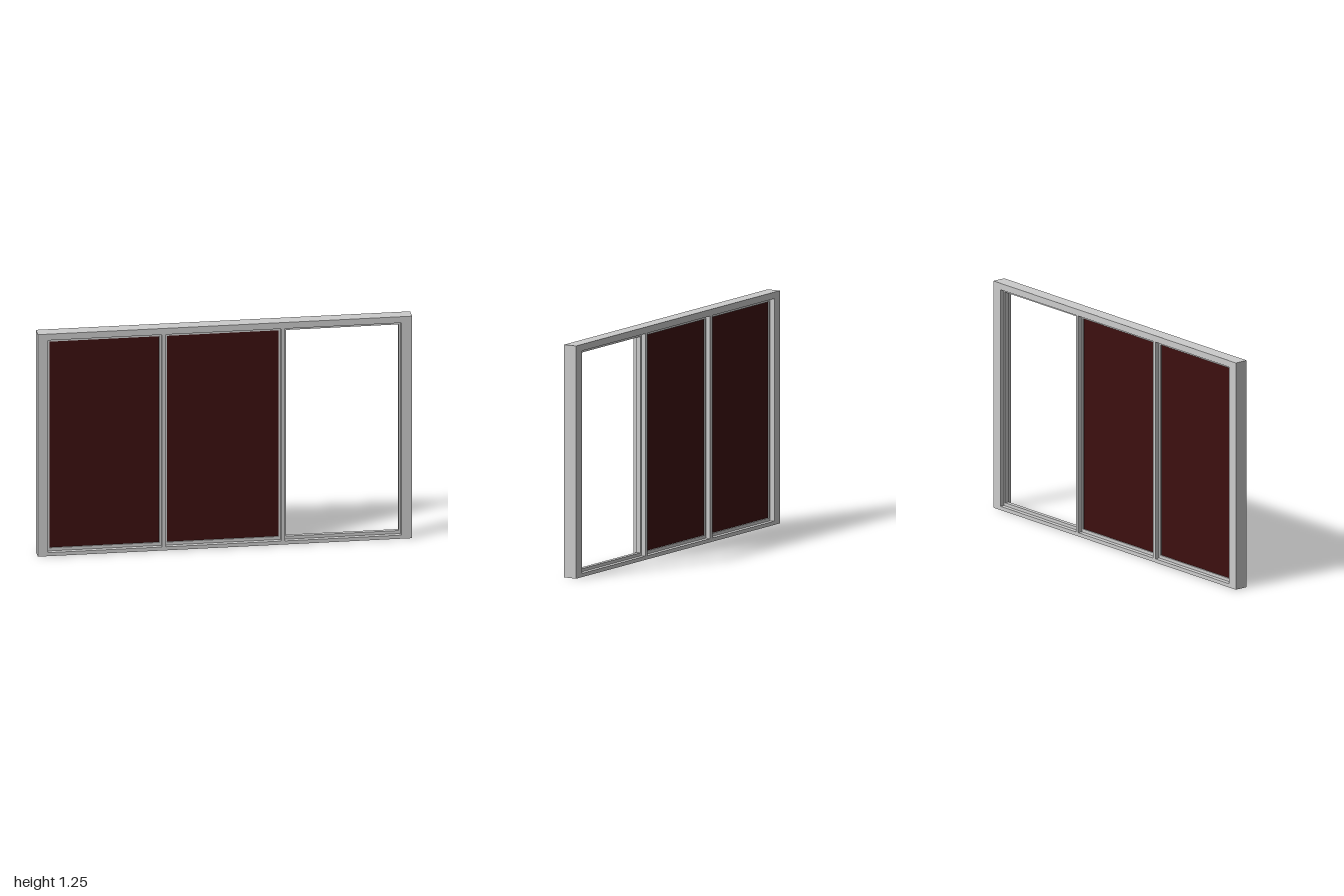
import * as THREE from 'three';

const grey = new THREE.MeshStandardMaterial({ color: 0xcccccc });
const darkRed = new THREE.MeshStandardMaterial({ color: 0x3c0f0f });

const HEIGHT = 1.25, DEPTH = 0.075, BEAD_DEPTH = 0.024;
const SILL = 0.02, HEAD = 1.215;
const BEAD_SIDE = 0.01, BEAD_END = 0.017;

// Left and right edge of each opening, and whether it holds a panel
const openings = [
  { x0: -0.945, x1: -0.337, filled: true },
  { x0: -0.316, x1: 0.3, filled: true },
  { x0: 0.32, x1: 0.942, filled: false },
];

function rectPath(PathType, x0, y0, x1, y1) {
  return new PathType([[x0, y0], [x1, y0], [x1, y1], [x0, y1]].map(([x, y]) => new THREE.Vector2(x, y)));
}

// Plate with rectangular holes, centred on z = 0
function plate(name, outer, holes, depth) {
  const shape = rectPath(THREE.Shape, ...outer);
  holes.forEach((h) => shape.holes.push(rectPath(THREE.Path, ...h)));
  const geometry = new THREE.ExtrudeGeometry(shape, { depth, bevelEnabled: false });
  geometry.translate(0, 0, -depth / 2);
  const mesh = new THREE.Mesh(geometry, grey);
  mesh.name = name;
  return mesh;
}

export function createModel() {
  const group = new THREE.Group();
  group.name = 'slidingWindow';

  // Outer frame with its two mullions
  group.add(plate('outerFrame', [-1, 0, 1, HEIGHT],
    openings.map((o) => [o.x0, SILL, o.x1, HEAD]), DEPTH));

  openings.forEach(({ x0, x1, filled }, i) => {
    const left = x0 + BEAD_SIDE, right = x1 - BEAD_SIDE;
    const bottom = SILL + BEAD_END, top = HEAD - BEAD_END;

    // Recessed bead around the opening
    group.add(plate(`bead${i + 1}`, [x0, SILL, x1, HEAD], [[left, bottom, right, top]], BEAD_DEPTH));

    // Dark panel held by the bead
    if (filled) {
      const panel = new THREE.Mesh(new THREE.BoxGeometry(right - left, top - bottom, 0.01), darkRed);
      panel.position.set((left + right) / 2, (bottom + top) / 2, 0);
      panel.name = `panel${i + 1}`;
      group.add(panel);
    }
  });

  return group;
}
